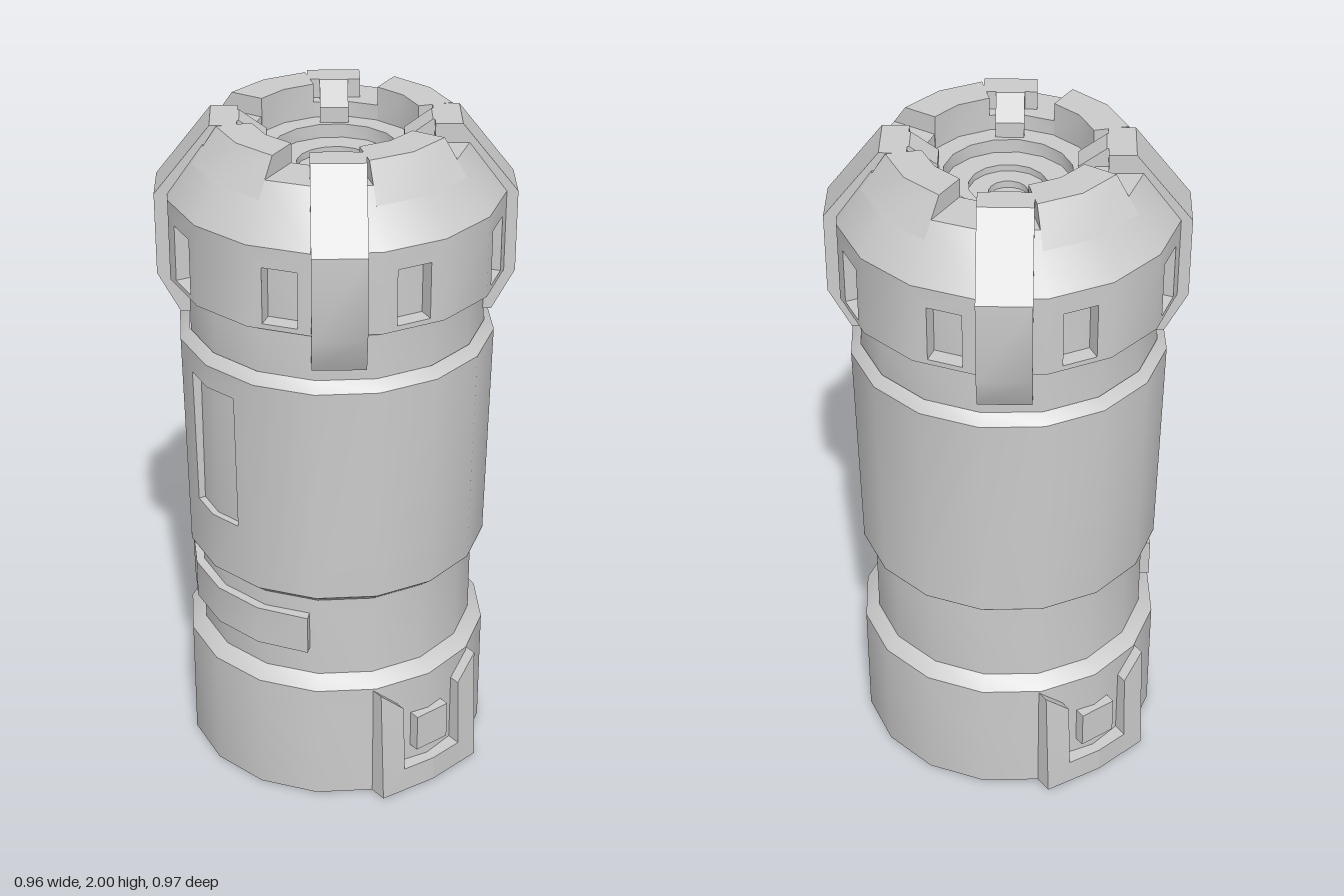
import * as THREE from 'three';
import { mergeGeometries, toCreasedNormals } from 'three/addons/utils/BufferGeometryUtils.js';

const SIDES = 16, STEP = Math.PI * 2 / SIDES;
const material = new THREE.MeshStandardMaterial({ color: 0xcccccc });
const vectors = pts => pts.map(([x, y]) => new THREE.Vector2(x, y));

export function createModel() {
  const group = new THREE.Group();

  const add = (name, geometry, parent = group) => {
    const mesh = new THREE.Mesh(toCreasedNormals(geometry, 0.55), material);
    mesh.name = name;
    parent.add(mesh);
    return mesh;
  };
  const lathe = (name, pts) => add(name, new THREE.LatheGeometry(vectors(pts), SIDES));
  const extrude = (shape, depth) => new THREE.ExtrudeGeometry(shape, { depth, bevelEnabled: false });

  // Ring of flat panels, one per side; shapeFor(i, halfWidth) gives the outline
  const panelRing = (radius, depth, shapeFor) => {
    const half = radius * Math.sin(STEP / 2), apothem = radius * Math.cos(STEP / 2);
    const parts = [];
    for (let i = 0; i < SIDES; i++) {
      parts.push(extrude(shapeFor(i, half), depth).translate(0, 0, apothem - depth).rotateY((i + 0.5) * STEP));
    }
    return mergeGeometries(parts);
  };

  // Box bent around the axis
  const arcBlock = (angle, span, segs, y0, y1, inner, outBottom, outTop) => {
    const g = new THREE.BoxGeometry(span, 1, 1, segs, 1, 1);
    const p = g.attributes.position;
    for (let i = 0; i < p.count; i++) {
      const a = angle + p.getX(i), top = p.getY(i) > 0;
      const r = p.getZ(i) < 0 ? inner : top ? outTop : outBottom;
      p.setXYZ(i, Math.sin(a) * r, top ? y1 : y0, Math.cos(a) * r);
    }
    return g;
  };

  // Base, lower neck, body core and upper neck
  lathe('base', [[0, 0], [0.452, 0], [0.452, 0.375], [0.41, 0.41]]);
  lathe('lowerNeck', [[0.41, 0.4], [0.41, 0.68]]);
  lathe('bodyCore', [[0.41, 0.67], [0.446, 0.7], [0.428, 0.7], [0.428, 1.37], [0.456, 1.37], [0.428, 1.4]]);
  lathe('upperNeck', [[0.425, 1.39], [0.425, 1.53], [0.445, 1.56], [0.43, 1.56], [0.43, 1.8]]);

  // Body shell with a sunken slot on the right side
  const body = panelRing(0.45, 0.04, (i, w) => {
    if (i !== 11 && i !== 12) {
      return new THREE.Shape(vectors([[-w, 0.7], [w, 0.7], [w, 1.37], [-w, 1.37]]));
    }
    const s = i === 11 ? 1 : -1, e = w - 0.1;
    const pts = [[-w, 0.7], [w, 0.7], [w, 0.88], [e, 0.88], [e, 1.3], [w, 1.3], [w, 1.37], [-w, 1.37]];
    return new THREE.Shape(vectors(pts.map(([x, y]) => [x * s, y])));
  });
  const bp = body.attributes.position;
  for (let i = 0; i < bp.count; i++) {
    const k = 1 + 0.035 * (bp.getY(i) - 1.0);
    bp.setXYZ(i, bp.getX(i) * k, bp.getY(i), bp.getZ(i) * k);
  }
  add('bodyShell', body);

  // Raised band on the lower neck
  add('neckBand', arcBlock(-Math.PI / 2, 1.45, 4, 0.5, 0.62, 0.38, 0.436, 0.436));

  // Cap wall with a window in every second panel
  add('capWall', panelRing(0.478, 0.05, (i, w) => {
    const shape = new THREE.Shape(vectors([[-w, 1.56], [w, 1.56], [w, 1.8], [-w, 1.8]]));
    if (i % 2) shape.holes.push(new THREE.Path(vectors([[-0.05, 1.575], [-0.05, 1.74], [0.05, 1.74], [0.05, 1.575]])));
    return shape;
  }));

  // Sloped cap top and stepped bowl
  lathe('capTop', [[0.478, 1.8], [0.375, 1.945], [0.24, 1.945], [0.24, 1.9], [0.18, 1.9],
    [0.18, 1.86], [0.11, 1.86], [0.11, 1.84], [0.055, 1.84], [0.055, 1.82], [0, 1.82]]);

  for (let i = 0; i < 4; i++) {
    // Raised rim blocks
    const quarter = i * Math.PI / 2;
    add('rimBlock', arcBlock(quarter, STEP * 2, 2, 1.9, 2, 0.238, 0.407, 0.336));

    // Claws hooking over the rim
    const claw = new THREE.Group();
    claw.name = 'claw';
    claw.rotation.y = quarter - THREE.MathUtils.degToRad(36.5);
    const arm = new THREE.Shape(vectors([[0.39, 1.44], [0.44, 1.44], [0.503, 1.56], [0.503, 1.8],
      [0.345, 2], [0.27, 2], [0.27, 1.92], [0.4, 1.8], [0.4, 1.5]]));
    const tooth = new THREE.Shape(vectors([[0.19, 1.9], [0.29, 1.9], [0.29, 2], [0.265, 2], [0.19, 1.945]]));
    add('clawArm', extrude(arm, 0.15).translate(0, 0, -0.075), claw);
    add('clawTooth', extrude(tooth, 0.08).translate(0, 0, -0.04), claw);
    group.add(claw);
  }

  // Front and back brackets: a U-shaped frame around a square button
  const halfFrame = new THREE.Shape(vectors([[0, 0], [0.18, 0], [0.18, 0.37], [0.105, 0.3], [0.105, 0.08], [0, 0.08]]));
  for (const turn of [0, Math.PI]) {
    const bracket = new THREE.Group();
    bracket.name = 'bracket';
    bracket.rotation.y = turn;
    for (const side of [1, -1]) {
      const shape = new THREE.Shape(halfFrame.getPoints().map(p => new THREE.Vector2(p.x * side, p.y)));
      const g = extrude(shape, 0.07);
      const p = g.attributes.position;
      for (let i = 0; i < p.count; i++) {
        const slope = 0.1 * Math.abs(p.getX(i)) + 0.1 * Math.max(0, p.getY(i) - 0.2);
        p.setZ(i, p.getZ(i) + 0.415 - slope);
      }
      add('bracketFrame', g, bracket);
    }
    add('bracketButton', new THREE.BoxGeometry(0.115, 0.12, 0.06).translate(0, 0.19, 0.443), bracket);
    group.add(bracket);
  }

  return group;
}
